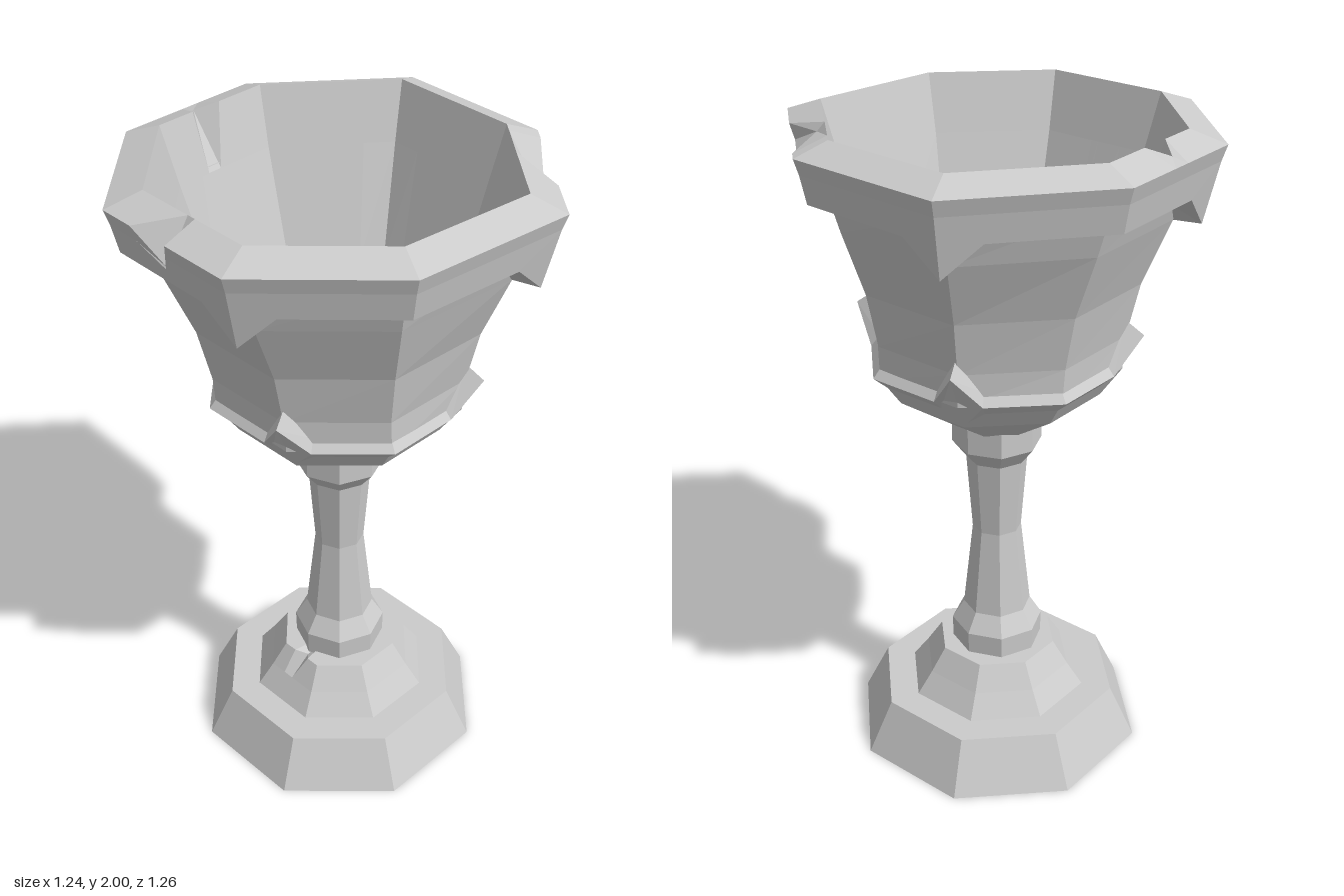
import * as THREE from 'three';

const SIDES = 8;
// slightly uneven octagon of the rim, from the front corner round by +x
const RIM = [[-0.03, 0.63], [0.39, 0.46], [0.62, 0.02], [0.41, -0.42],
  [-0.03, -0.63], [-0.46, -0.40], [-0.62, 0.02], [-0.45, 0.44]];

// corner k of a unit octagon; skew blends from regular to the uneven rim shape
function corner(k, skew) {
  const a = (k % SIDES) * Math.PI * 2 / SIDES;
  const [x, z] = RIM[k % SIDES];
  return [THREE.MathUtils.lerp(Math.sin(a), x / 0.63, skew),
    THREE.MathUtils.lerp(Math.cos(a), z / 0.63, skew)];
}

// point on the octagon outline; u = corner number plus fraction along the side
function at(u, [r, y, skew = 0]) {
  const k = Math.floor(u), t = u - k;
  const a = corner(k, skew), b = corner(k + 1, skew);
  return [r * (a[0] + (b[0] - a[0]) * t), y, r * (a[1] + (b[1] - a[1]) * t)];
}

// skin between columns; profile(u) gives [radius, height, skew] points, outside going up
function loft(name, columns, profile, capStart, capEnd) {
  const grid = columns.map(u => profile(u).map(p => at(u, p)));
  const n = grid.length, m = grid[0].length, pos = [];
  const tri = (a, b, c) => pos.push(...a, ...b, ...c);
  for (let i = 0; i < n; i++) {
    const A = grid[i], B = grid[(i + 1) % n];
    for (let j = 0; j < m - 1; j++) {
      tri(A[j], B[j], B[j + 1]);
      tri(A[j], B[j + 1], A[j + 1]);
    }
    if (capStart) tri([0, A[0][1], 0], B[0], A[0]);
    if (capEnd) tri([0, A[m - 1][1], 0], A[m - 1], B[m - 1]);
  }
  const geo = new THREE.BufferGeometry();
  geo.setAttribute('position', new THREE.Float32BufferAttribute(pos, 3));
  geo.computeVertexNormals();
  const mesh = new THREE.Mesh(geo, new THREE.MeshStandardMaterial({
    color: 0xcccccc, flatShading: true, side: THREE.DoubleSide }));
  mesh.name = name;
  return mesh;
}

const corners = [...Array(SIDES).keys()];
const POINT = 0.25; // half width of the pointed ornaments, as a fraction of a side
const pointed = corners.flatMap(k => k % 2 ? [k] : [(k - POINT + SIDES) % SIDES, k, k + POINT]);
const sorted = list => [...list].sort((a, b) => a - b);
const isTip = u => u % 2 === 0;

export function createModel() {
  const goblet = new THREE.Group();
  goblet.name = 'goblet';

  // two-tier foot with a small dent in the upper tier
  const foot = loft('foot', sorted([...corners, 7.3, 7.5, 7.7]), u => [
    [0.46, 0], [0.38, 0.165], [0.285, 0.165], [0.235, 0.235],
    u === 7.5 ? [0.155, 0.29] : [0.187, 0.31],
  ], true, true);

  // waisted stem with a collar at each end, flat side to the front
  const stem = loft('stem', corners, () => [
    [0.14, 0.30], [0.142, 0.38], [0.105, 0.44], [0.075, 0.72],
    [0.093, 0.965], [0.135, 1.02], [0.135, 1.10],
  ], true, true);
  stem.rotation.y = Math.PI / SIDES;

  // outer wall of the cup
  const cup = loft('cup', corners, () => [
    [0.13, 1.09], [0.31, 1.21], [0.372, 1.30], [0.378, 1.40, 0.2],
    [0.415, 1.56, 0.4], [0.495, 1.75, 0.8], [0.55, 1.90, 1],
  ], true, false);

  // ridge round the cup, rising to a point on the four main corners
  const ridge = loft('ridge', sorted(pointed), u => isTip(u)
    ? [[0.31, 1.215], [0.43, 1.41], [0.375, 1.45]]
    : [[0.35, 1.268], [0.392, 1.305], [0.365, 1.34]]);

  // rim band with hanging points and chips, continuing into the bowl's inside
  const chipColumns = [2.32, 2.58, 2.9, 5.42, 5.55, 5.68, 7.24, 7.47, 7.54];
  const rim = loft('rimAndBowl', sorted(new Set([...pointed, ...chipColumns])), u => {
    const drop = isTip(u) ? 1.745 : 1.84;
    const p = [
      [0.48, drop + 0.005, 1], [isTip(u) ? 0.575 : 0.597, drop, 1],
      [0.615, 1.92, 1], [0.63, 1.965, 1], [0.525, 2.0, 1],
      [0.475, 1.83, 1], [0.37, 1.5, 0.6], [0.19, 1.2, 0],
    ];
    if (u === 2.58) p[3] = [0.55, 1.975, 1];
    if (u === 5.55) p[4] = [0.58, 1.975, 1];
    if (u === 7.47) {
      p[2] = [0.606, 1.88, 1];
      p[3] = [0.603, 1.885, 1];
    }
    return p;
  }, false, true);

  goblet.add(foot, stem, cup, ridge, rim);
  return goblet;
}
